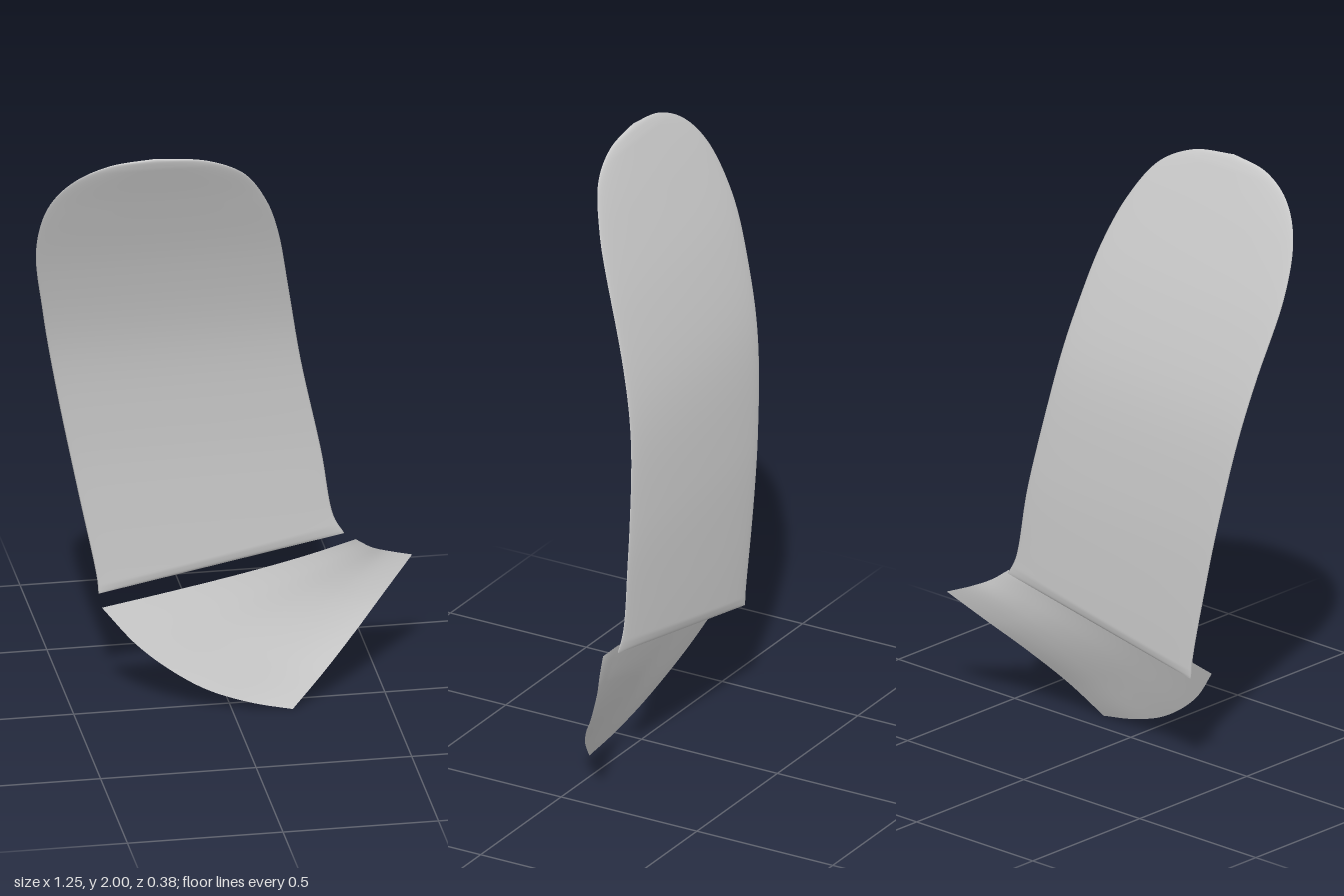
import * as THREE from 'three';

const curve = (pts) => new THREE.CatmullRomCurve3(pts.map(([x, y, z = 0]) => new THREE.Vector3(x, y, z)));

// Grid surface: rows x cols vertices from point(i, j); wrap closes each row into a loop
function gridGeometry(rows, cols, point, wrap = false) {
  const pos = [], idx = [];
  for (let i = 0; i < rows; i++) for (let j = 0; j < cols; j++) pos.push(...point(i, j).toArray());
  for (let i = 0; i < rows - 1; i++) {
    for (let j = 0; j < (wrap ? cols : cols - 1); j++) {
      const k = (j + 1) % cols;
      const a = i * cols + j, b = i * cols + k, c = a + cols, d = b + cols;
      idx.push(a, b, d, a, d, c);
    }
  }
  const g = new THREE.BufferGeometry();
  g.setAttribute('position', new THREE.Float32BufferAttribute(pos, 3));
  g.setIndex(idx);
  g.computeVertexNormals();
  return g;
}

// Long curved blade: thin lens section between a left and a right rail
function bladeGeometry() {
  const left = curve([[-0.395, 0.345], [-0.40, 0.40], [-0.46, 0.70], [-0.53, 1.05], [-0.59, 1.38],
    [-0.627, 1.65], [-0.60, 1.82], [-0.53, 1.92], [-0.42, 1.98], [-0.27, 2.0]]);
  const right = curve([[0.395, 0.495], [0.36, 0.56], [0.32, 0.79], [0.25, 1.12], [0.20, 1.40],
    [0.15, 1.65], [0.10, 1.79], [0.02, 1.91], [-0.10, 1.975], [-0.27, 2.0]]);
  // Bend of the blade: depth z at each height y
  const bend = new THREE.CubicInterpolant(
    [0.2, 0.6, 0.9, 1.24, 1.53, 1.8, 2.0], [-0.147, -0.145, -0.132, -0.09, -0.007, 0.1, 0.19], 1, [0]);
  const rows = 81, half = 24;
  return gridGeometry(rows, half * 2, (i, j) => {
    const t = Math.pow(i / (rows - 1), 1.1);
    const angle = (j / half) * Math.PI;
    const p = left.getPoint(t).lerp(right.getPoint(t), (1 - Math.cos(angle)) / 2);
    const taper = Math.sqrt(Math.min(1, t / 0.06, (1 - t) / 0.15));
    p.z = bend.evaluate(p.y)[0] + 0.011 * Math.sin(angle) * taper;
    return p;
  }, true);
}

// Lower flap: smooth patch spanning four edge curves
function flapGeometry() {
  const A = [-0.40, 0.338, -0.055], B = [0.425, 0.488, -0.11], C = [0.62, 0.385, -0.187], D = [0.19, 0, 0.08];
  const top = curve([A, [-0.15, 0.384, -0.053], [0.08, 0.426, -0.06], [0.27, 0.46, -0.08], B]);
  const bottom = curve([D, [0.30, 0.10, 0.03], [0.42, 0.207, -0.045], [0.51, 0.287, -0.11], C]);
  const leftSide = curve([A, [-0.30, 0.225, -0.01], [-0.20, 0.145, 0.022], [-0.08, 0.075, 0.05],
    [0.06, 0.027, 0.068], D]);
  const rightSide = curve([B, [0.48, 0.447, -0.13], [0.54, 0.417, -0.157], C]);
  const [a, b, c, d] = [A, B, C, D].map((p) => new THREE.Vector3(...p));
  const n = 33;
  return gridGeometry(n, n, (i, j) => {
    const u = j / (n - 1), v = 1 - i / (n - 1);
    const corners = a.clone().lerp(b, u).lerp(d.clone().lerp(c, u), v);
    return top.getPoint(u).lerp(bottom.getPoint(u), v)
      .add(leftSide.getPoint(v).lerp(rightSide.getPoint(v), u))
      .sub(corners);
  });
}

export function createModel() {
  const group = new THREE.Group();
  const material = new THREE.MeshStandardMaterial({ color: 0xcccccc, side: THREE.DoubleSide });
  const parts = { blade: bladeGeometry(), lowerFlap: flapGeometry() };
  for (const [name, geometry] of Object.entries(parts)) {
    const mesh = new THREE.Mesh(geometry, material);
    mesh.name = name;
    group.add(mesh);
  }
  return group;
}
